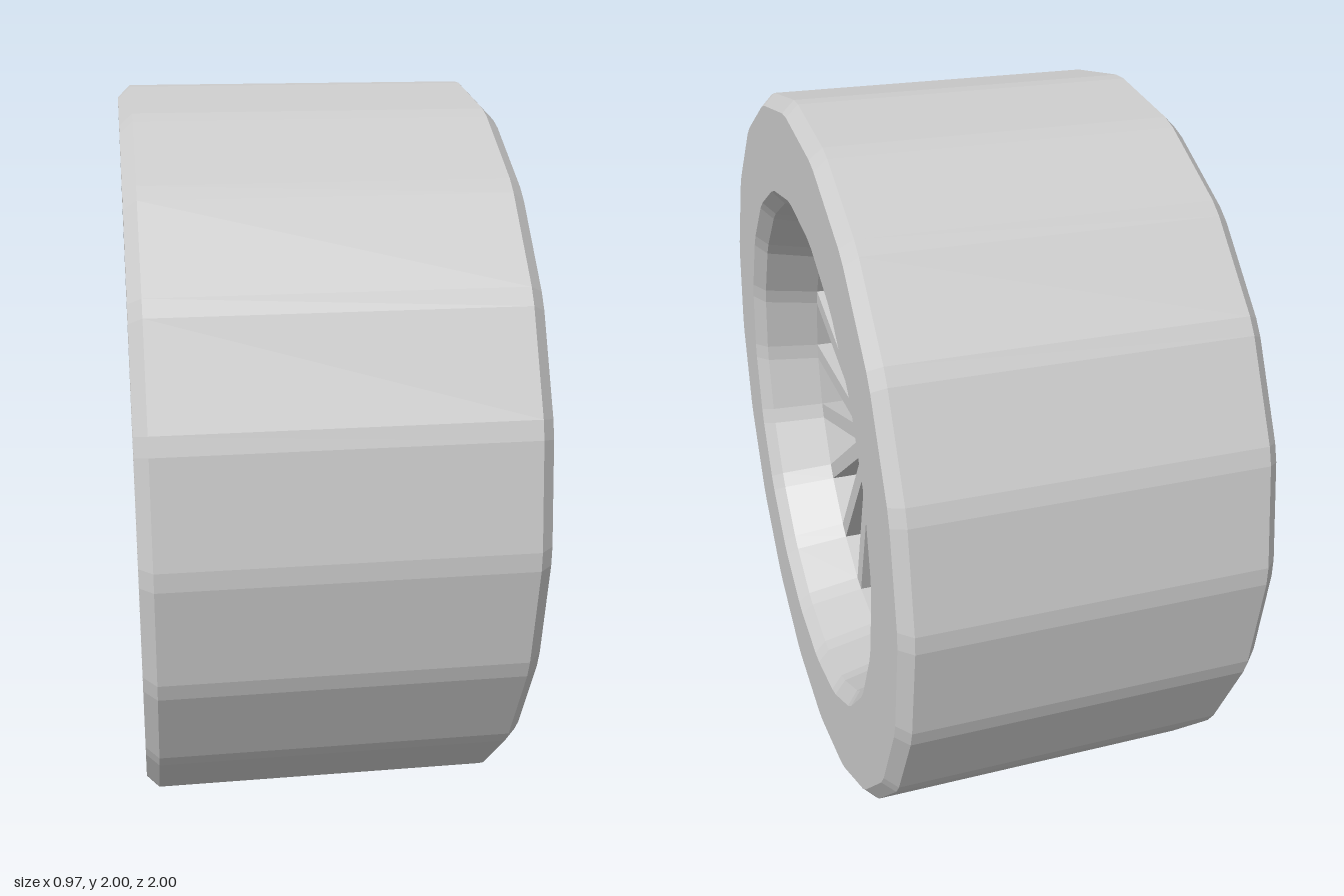
import * as THREE from 'three';

const SIDES = 20;
const HALF = 0.024;      // half width of a spoke and of the flat on each corner
const SPOKE_X = 0.29;    // half depth of the spokes
const DISC_X = 0.04;     // half thickness of the centre disc

// Sweeps a profile of [x, radius] pairs round the x axis as a 20-sided ring with narrow flats at its corners.
function facetedRing(profile, material) {
  const ringPoint = ([x, r], i) => {
    const a = (Math.floor(i / 2) % SIDES) * Math.PI * 2 / SIDES;
    const t = i % 2 ? HALF : -HALF;
    return [x, 1 + r * Math.cos(a) - t * Math.sin(a), r * Math.sin(a) + t * Math.cos(a)];
  };
  const positions = [];
  for (let p = 0; p < profile.length - 1; p++) {
    for (let i = 0; i < SIDES * 2; i++) {
      const a = ringPoint(profile[p], i), b = ringPoint(profile[p + 1], i);
      const c = ringPoint(profile[p + 1], i + 1), d = ringPoint(profile[p], i + 1);
      positions.push(...a, ...c, ...b, ...a, ...d, ...c);
    }
  }
  const geometry = new THREE.BufferGeometry();
  geometry.setAttribute('position', new THREE.Float32BufferAttribute(positions, 3));
  geometry.computeVertexNormals();
  return new THREE.Mesh(geometry, material);
}

export function createModel() {
  const model = new THREE.Group();
  const material = new THREE.MeshStandardMaterial({ color: 0xcccccc, flatShading: true });

  // Tyre and rim: bevelled tread, flat sidewalls, bevelled lip and tapering inner wall
  const half = [[0.45, 1], [0.483, 0.968], [0.483, 0.737], [0.45, 0.7], [SPOKE_X, 0.665], [DISC_X, 0.665]];
  const mirrored = half.map(([x, r]) => [-x, r]).reverse();
  const tyre = facetedRing([...mirrored, ...half], material);
  tyre.name = 'tyre';
  model.add(tyre);

  // Disc closing the middle of the rim
  const disc = new THREE.Mesh(new THREE.CylinderGeometry(0.672, 0.672, DISC_X * 2, SIDES), material);
  disc.rotation.z = Math.PI / 2;
  disc.position.y = 1;
  disc.name = 'centreDisc';
  model.add(disc);

  // Spokes: bars right across the rim, merging into a hub where they cross
  const spokes = new THREE.Group();
  spokes.name = 'spokes';
  spokes.position.y = 1;
  const bar = new THREE.BoxGeometry(SPOKE_X * 2, 1.33, HALF * 2);
  for (let i = 0; i < SIDES / 2; i++) {
    const spoke = new THREE.Mesh(bar, material);
    spoke.name = 'spokePair';
    spoke.rotation.x = i * Math.PI * 2 / SIDES;
    spokes.add(spoke);
  }
  model.add(spokes);

  return model;
}
